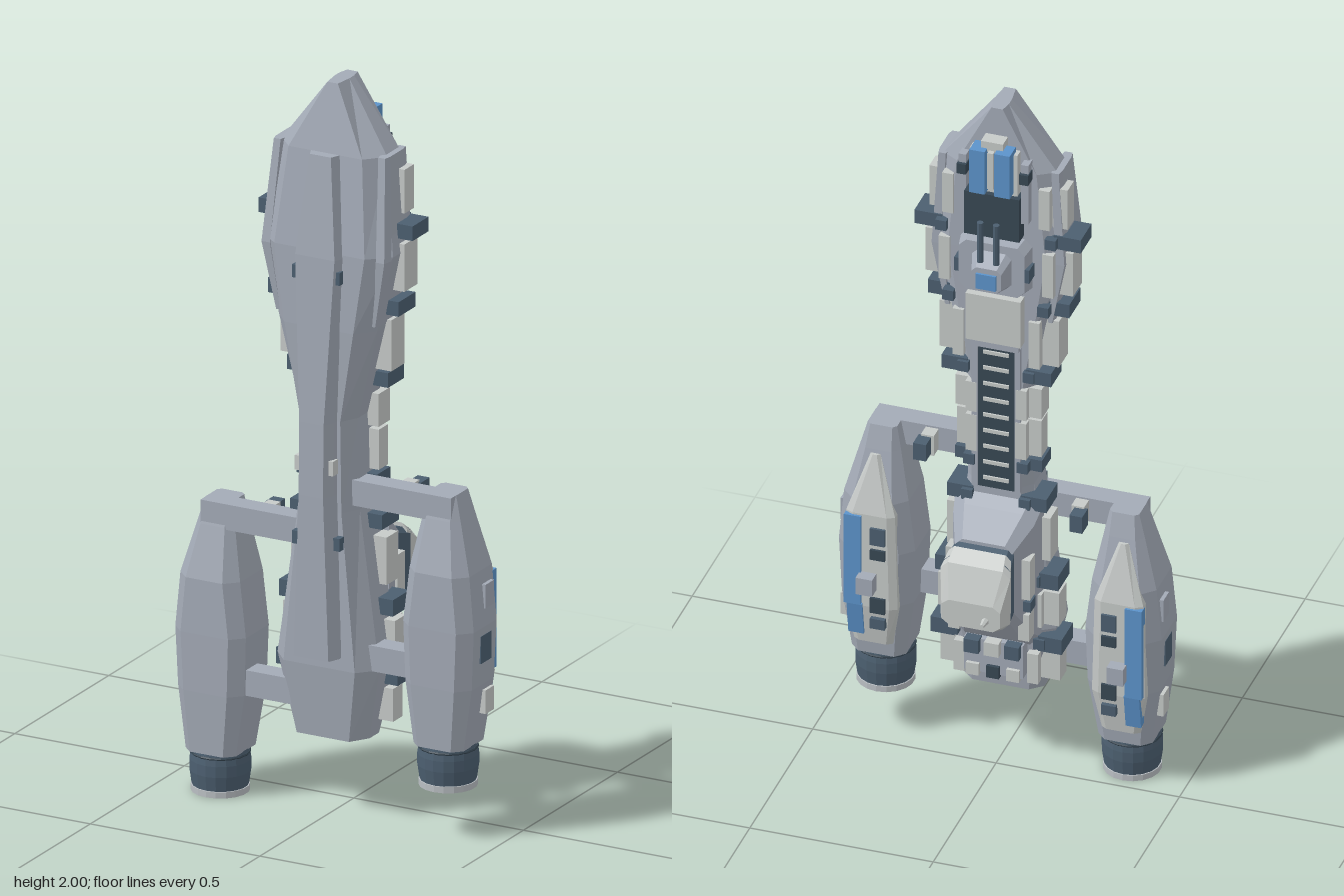
import * as THREE from 'three';

const mat = (name, color, side = THREE.FrontSide) => {
  const m = new THREE.MeshStandardMaterial({ color, flatShading: true, side });
  m.name = name;
  return m;
};

export function createModel() {
  const ship = new THREE.Group();
  ship.name = 'spaceship';
  const hullGrey = mat('hull grey', 0xa3aab6);
  const light = mat('pale panel', 0xc6cac8);
  const slate = mat('slate', 0x4c5f70);
  const dark = mat('dark slate', 0x384854);
  const blue = mat('blue', 0x5c93ca);
  const engineSlate = mat('engine slate', 0x4c5f70, THREE.DoubleSide);
  const rimPale = mat('engine rim', 0xb9bec2, THREE.DoubleSide);

  const add = (name, geo, material, parent = ship) => {
    const m = new THREE.Mesh(geo, material);
    m.name = name;
    parent.add(m);
    return m;
  };
  const box = (name, material, x, y, z, w, h, d, parent = ship) => {
    const m = add(name, new THREE.BoxGeometry(w, h, d), material, parent);
    m.position.set(x, y, z);
    return m;
  };

  // Loft of chamfered rectangles; section = [y, x0, x1, z0, z1, chamfer x, chamfer z front, chamfer z back]
  function loft(sections) {
    const pos = [], idx = [], n = 8;
    for (const [y, x0, x1, z0, z1, cx, cf, cb = cf] of sections) {
      const ring = [[x1, z1 - cf], [x1, z0 + cb], [x1 - cx, z0], [x0 + cx, z0],
        [x0, z0 + cb], [x0, z1 - cf], [x0 + cx, z1], [x1 - cx, z1]];
      for (const [x, z] of ring) pos.push(x, y, z);
    }
    const last = (sections.length - 1) * n;
    for (let s = 0; s < last; s += n) for (let i = 0; i < n; i++) {
      const a = s + i, b = s + (i + 1) % n;
      idx.push(a, b, b + n, a, b + n, a + n);
    }
    for (let i = 1; i < n - 1; i++) idx.push(0, i + 1, i, last, last + i, last + i + 1);
    const g = new THREE.BufferGeometry();
    g.setAttribute('position', new THREE.Float32BufferAttribute(pos, 3));
    g.setIndex(idx);
    const flat = g.toNonIndexed();
    flat.computeVertexNormals();
    return flat;
  }
  // Same loft run rearwards (-z): section = [depth, x0, x1, y0, y1, chamfer x, chamfer y top, chamfer y bottom]
  const loftBack = (sections) => loft(sections).rotateX(-Math.PI / 2);

  // Main hull
  const hull = [[0.22, 0.11, 0.035, 0.165], [0.42, 0.15, 0.01, 0.185], [0.85, 0.09, 0.01, 0.18],
    [1.1, 0.085, 0.01, 0.18], [1.35, 0.145, 0.008, 0.187], [1.56, 0.19, 0.005, 0.184],
    [1.82, 0.155, 0.005, 0.152], [2, 0.022, 0.008, 0.113]];
  add('hull', loft(hull.map(([y, w, z0, z1]) => [y, -w, w, z0, z1, w * 0.3, 0.05, 0.03])), hullGrey);
  const widthAt = (y) => {
    const i = Math.max(1, hull.findIndex((s) => s[0] >= y));
    const [a, b] = [hull[i - 1], hull[i]];
    return a[1] + (b[1] - a[1]) * (y - a[0]) / (b[0] - a[0]);
  };

  // Belly keel
  add('keel', loft([[0.455, 0.065, 0.228], [0.9, 0.05, 0.229], [1.1, 0.05, 0.226], [1.55, 0.072, 0.208],
    [1.82, 0.045, 0.178]].map(([y, w, z]) => [y, -w, w, 0.1, z, 0.014, 0.032, 0.01])), hullGrey);

  // Side fittings: [y, height, z, depth, thickness outside the hull, material]
  const fittings = [
    [1.72, 0.12, 0.045, 0.05, 0.02, light], [1.62, 0.04, 0.055, 0.085, 0.045, slate],
    [1.52, 0.13, 0.06, 0.07, 0.02, light], [1.41, 0.04, 0.065, 0.09, 0.035, slate],
    [1.3, 0.14, 0.06, 0.07, 0.03, light], [1.2, 0.04, 0.045, 0.085, 0.04, slate],
    [1.11, 0.09, 0.05, 0.06, 0.03, light], [1.0, 0.11, 0.05, 0.05, 0.028, light],
    [0.92, 0.035, 0.055, 0.07, 0.03, slate], [0.81, 0.04, 0.05, 0.09, 0.04, slate],
    [0.7, 0.13, 0.05, 0.06, 0.03, light], [0.58, 0.045, 0.05, 0.09, 0.04, slate],
    [0.49, 0.1, 0.05, 0.06, 0.025, light], [0.39, 0.045, 0.045, 0.09, 0.035, slate],
    [0.31, 0.09, 0.06, 0.05, 0.035, light]];
  for (const s of [-1, 1]) {
    add('cheekPlate', loft([[1.365, 0.13, 0.15, 0.02, 0.15, 0.004, 0.02], [1.55, 0.15, 0.187, 0.015, 0.165, 0.006, 0.03],
      [1.825, 0.14, 0.168, 0.02, 0.13, 0.004, 0.02]].map(([y, a, b, ...r]) =>
      s > 0 ? [y, a, b, ...r] : [y, -b, -a, ...r])), hullGrey);
    for (const [y, h, z, d, out, m] of fittings) {
      const w = widthAt(y);
      box('sideFitting', m, s * (w + out / 2 - 0.015), y, z, out + 0.03, h, d);
      // Low panels along the rear edge
      if (m === light) box('rearEdgePanel', light, s * w * 0.78, y, 0.01, 0.03, h, 0.024);
      else box('rearEdgeBlock', slate, s * w * 0.82, y, 0.008, 0.03, 0.03, 0.03);
    }
    // Small vents and panels along the keel
    for (const y of [0.77, 1.5]) box('keelVent', slate, s * 0.058, y, 0.19, 0.025, 0.035, 0.025);
    box('keelPanel', light, s * 0.044, 0.98, 0.2, 0.025, 0.04, 0.025);
  }

  // Dorsal nose panels
  box('noseBlock', light, 0, 1.905, -0.008, 0.06, 0.03, 0.05);
  box('noseDivider', light, 0, 1.84, -0.022, 0.016, 0.11, 0.05);
  box('nosePanelBed', light, 0, 1.82, -0.005, 0.13, 0.13, 0.03);
  for (const s of [-1, 1]) {
    box('nosePanel', blue, s * 0.034, 1.835, -0.028, 0.042, 0.13, 0.05);
    box('noseRail', hullGrey, s * 0.085, 1.77, -0.003, 0.02, 0.18, 0.035);
    box('noseRailCap', dark, s * 0.085, 1.82, -0.01, 0.025, 0.03, 0.04);
  }
  box('sensorDeck', dark, 0, 1.695, -0.01, 0.15, 0.13, 0.05);

  // Twin-barrel turret on its platform
  add('turretPlatform', loftBack([[-0.02, -0.1, 0.1, 1.45, 1.62, 0.02, 0.02], [0.035, -0.09, 0.09, 1.46, 1.61, 0.02, 0.02]]), hullGrey);
  add('turretHousing', loftBack([[0.03, -0.055, 0.055, 1.48, 1.59, 0.015, 0.015], [0.078, -0.04, 0.04, 1.49, 1.56, 0.012, 0.012]]), hullGrey);
  box('turretWindow', blue, 0, 1.522, -0.08, 0.055, 0.045, 0.009);
  for (const s of [-1, 1]) {
    const barrel = add('turretBarrel', new THREE.CylinderGeometry(0.009, 0.009, 0.12, 8), slate);
    barrel.position.set(s * 0.022, 1.63, -0.063);
    box('platformClamp', slate, s * 0.09, 1.53, -0.015, 0.025, 0.04, 0.04);
  }
  box('dorsalPlate', light, 0, 1.37, -0.005, 0.15, 0.14, 0.04);
  box('dorsalPlateLip', hullGrey, 0, 1.29, 0.002, 0.13, 0.03, 0.03);

  // Ribbed spine
  box('spineTrench', dark, 0, 1.06, 0.008, 0.1, 0.44, 0.012);
  for (let i = 0; i < 9; i++) box('spineRib', light, 0, 0.87 + i * 0.048, 0.004, 0.07, 0.01, 0.014);
  for (const s of [-1, 1]) box('spineRail', hullGrey, s * 0.058, 1.06, 0.01, 0.016, 0.44, 0.022);

  // Command tower
  add('towerBase', loftBack([[-0.03, -0.12, 0.12, 0.36, 0.83, 0.03, 0.03], [0.02, -0.11, 0.11, 0.4, 0.79, 0.03, 0.03],
    [0.1, -0.078, 0.078, 0.52, 0.735, 0.02, 0.02]]), hullGrey);
  add('bridgeBand', loftBack([[0.085, -0.08, 0.08, 0.52, 0.73, 0.015, 0.015], [0.15, -0.09, 0.09, 0.525, 0.71, 0.015, 0.015]]), slate);
  add('bridgeCap', loftBack([[0.128, -0.085, 0.085, 0.56, 0.728, 0.015, 0.015], [0.165, -0.095, 0.095, 0.525, 0.7, 0.02, 0.02],
    [0.202, -0.08, 0.08, 0.535, 0.61, 0.02, 0.015]]), light);
  const mast = add('mast', new THREE.CylinderGeometry(0.006, 0.012, 0.04, 6).rotateX(-Math.PI / 2), light);
  mast.position.set(-0.04, 0.565, -0.21);
  for (const s of [-1, 1]) {
    box('towerSidePanel', light, s * 0.1, 0.62, -0.045, 0.03, 0.12, 0.04);
    box('towerSideBlock', light, s * 0.095, 0.47, -0.035, 0.03, 0.08, 0.05);
    box('towerSideVent', slate, s * 0.1, 0.535, -0.04, 0.03, 0.03, 0.04);
  }

  // Stern fittings
  box('sternDeck', hullGrey, 0, 0.335, 0, 0.16, 0.1, 0.04);
  for (const x of [-0.055, 0, 0.055]) {
    box('sternBlock', x ? slate : light, x, 0.37, -0.025, 0.04, 0.04, 0.03);
    box('sternVent', x ? light : dark, x, 0.295, -0.015, 0.035, 0.035, 0.03);
  }

  // Engine pods, the right one set lower
  for (const [s, dy, name] of [[1, 0, 'leftPod'], [-1, -0.133, 'rightPod']]) {
    const pod = new THREE.Group();
    pod.name = name;
    pod.position.y = dy;
    ship.add(pod);
    const flip = ([y, a, b, ...r]) => (s > 0 ? [y, a, b, ...r] : [y, -b, -a, ...r]);
    add('podBody', loft([[0.25, 0.262, 0.41, 0.025, 0.18, 0.025, 0.025], [0.42, 0.237, 0.433, 0.003, 0.188, 0.034, 0.034],
      [0.58, 0.232, 0.44, 0, 0.19, 0.034, 0.034], [0.73, 0.25, 0.426, 0, 0.188, 0.034, 0.034],
      [0.87, 0.277, 0.388, 0.033, 0.152, 0.02, 0.02], [0.935, 0.29, 0.37, 0.05, 0.133, 0.01, 0.01]].map(flip)), hullGrey, pod);
    add('podRearCover', loft([[0.3, 0.285, 0.39, 0, 0.05, 0.015, 0.01], [0.42, 0.265, 0.41, -0.02, 0.05, 0.02, 0.01],
      [0.7, 0.272, 0.405, -0.02, 0.05, 0.02, 0.01], [0.86, 0.325, 0.352, 0.022, 0.06, 0.008, 0.008]].map(flip)), light, pod);
    box('podBlueStripe', blue, s * 0.383, 0.56, -0.014, 0.046, 0.27, 0.026, pod);
    const stripeEnd = box('podStripeEnd', blue, s * 0.378, 0.38, -0.006, 0.042, 0.1, 0.026, pod);
    stripeEnd.rotation.x = -0.16;
    box('podFin', hullGrey, s * 0.342, 0.5, -0.035, 0.045, 0.05, 0.04, pod);
    for (const [y, h, m] of [[0.64, 0.05, slate], [0.585, 0.03, dark], [0.43, 0.045, dark], [0.375, 0.03, slate]]) {
      box('podRearBlock', m, s * 0.315, y, -0.015, 0.04, h, 0.025, pod);
    }
    // Outer side panels
    for (const [y, h, z, w, m] of [[0.66, 0.065, 0.07, 0.045, hullGrey], [0.52, 0.075, 0.09, 0.055, slate], [0.37, 0.065, 0.07, 0.045, light]]) {
      box('podSidePanel', m, s * 0.43, y, z, 0.02, h, w, pod);
    }
    // Struts to the hull
    box('upperStrut', hullGrey, s * 0.21, 0.9, 0.12, 0.318, 0.07, 0.06, pod);
    box('lowerStrut', hullGrey, s * 0.18, 0.455, 0.12, 0.18, 0.07, 0.06, pod);
    box('strutFittingDark', slate, s * 0.213, 0.9, 0.035, 0.035, 0.05, 0.045, pod);
    box('strutFittingPale', light, s * 0.205, 0.9, 0.072, 0.035, 0.06, 0.04, pod);
    // Open engine nozzle
    const engine = new THREE.Group();
    engine.name = 'engine';
    engine.position.set(s * 0.336, 0, 0.104);
    pod.add(engine);
    const turned = (points) => new THREE.LatheGeometry(points.map((p) => new THREE.Vector2(...p)), 18);
    add('nozzle', turned([[0, 0.19], [0.058, 0.185], [0.062, 0.145], [0.074, 0.148], [0.08, 0.19], [0.08, 0.22], [0.075, 0.255], [0, 0.26]]), engineSlate, engine);
    add('nozzleRim', turned([[0.06, 0.152], [0.06, 0.133], [0.077, 0.133], [0.077, 0.15], [0.06, 0.152]]), rimPale, engine);
    const seam = add('nozzleSeam', new THREE.TorusGeometry(0.076, 0.004, 6, 18).rotateX(Math.PI / 2), dark, engine);
    seam.position.y = 0.24;
  }
  return ship;
}
